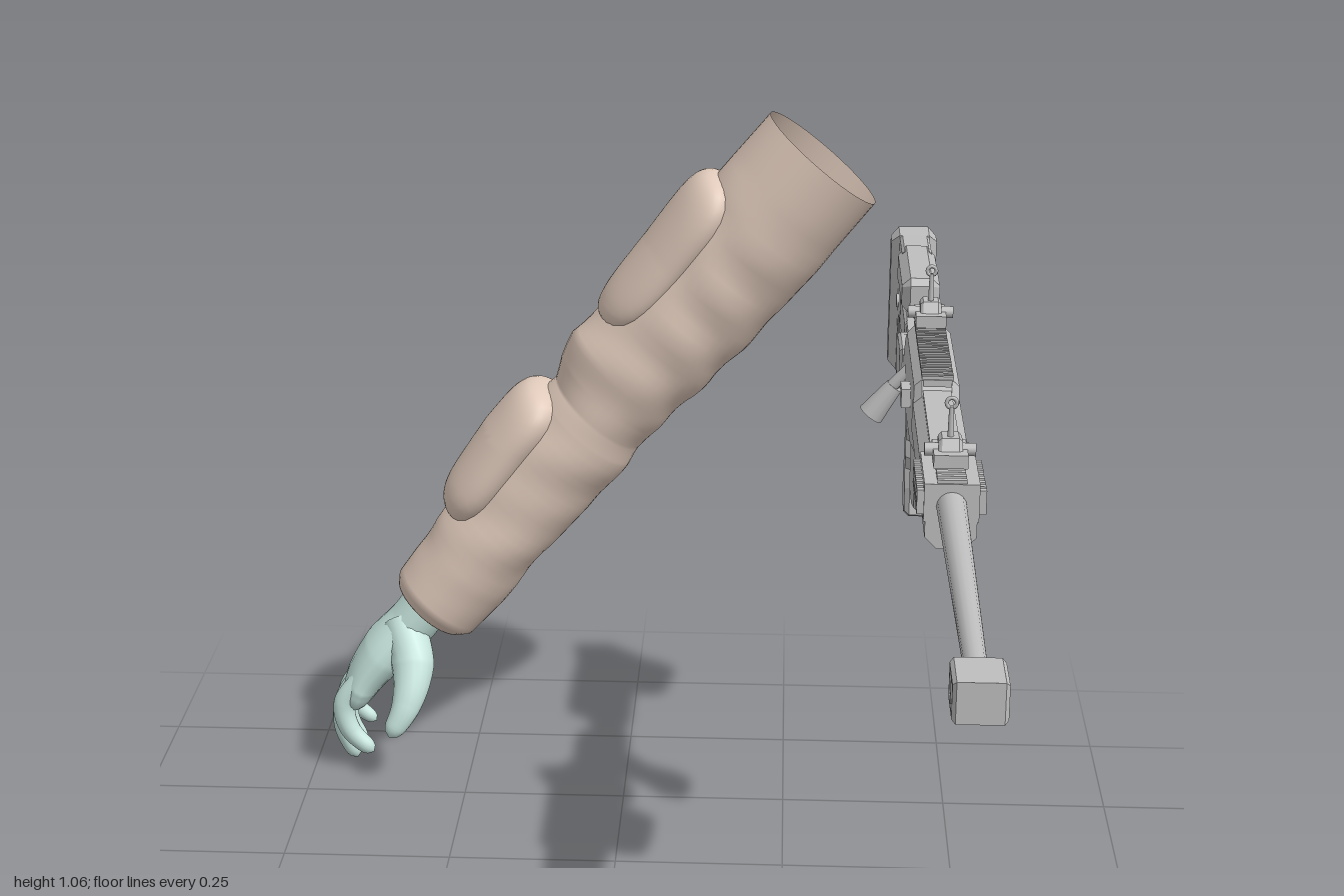
import * as THREE from 'three';
import { ParametricGeometry } from 'three/addons/geometries/ParametricGeometry.js';

const V = (x, y, z) => new THREE.Vector3(x, y, z);
const material = (name, color, side = THREE.FrontSide) => {
  const m = new THREE.MeshStandardMaterial({ color, side });
  m.name = name;
  return m;
};
const GX = 0.43; // centre plane of the rifle

export function createModel() {
  const cloth = material('sleeveCloth', 0xe0cabb, THREE.DoubleSide);
  const glove = material('paleTeal', 0xc8e6de);
  const grey = material('rifleGrey', 0xbebebe);
  const model = new THREE.Group();
  const arm = new THREE.Group(), rifle = new THREE.Group();
  arm.name = 'arm';
  rifle.name = 'rifle';
  model.add(arm, rifle);

  const add = (group, name, geo, mat) => {
    const mesh = new THREE.Mesh(geo, mat);
    mesh.name = name;
    group.add(mesh);
    return mesh;
  };

  // ---- Sleeve: rows of distance along arm, upper offset, lower offset, z centre, z radius
  const rows = [
    [0.012, 0.03, 0.03, -0.89, 0.035], [-0.012, 0.066, 0.064, -0.89, 0.08],
    [0, 0.074, 0.076, -0.89, 0.088], [0.07, 0.079, 0.081, -0.889, 0.091],
    [0.18, 0.087, 0.078, -0.89, 0.096], [0.28, 0.092, 0.085, -0.892, 0.101],
    [0.375, 0.088, 0.087, -0.891, 0.104], [0.405, 0.084, 0.084, -0.891, 0.104],
    [0.44, 0.1, 0.083, -0.889, 0.106], [0.48, 0.112, 0.087, -0.887, 0.109],
    [0.56, 0.105, 0.096, -0.88, 0.11], [0.67, 0.103, 0.104, -0.873, 0.11],
    [0.8, 0.104, 0.106, -0.86, 0.108], [0.938, 0.103, 0.103, -0.848, 0.104]];
  const origin = V(-0.305, 0.275, 0), along = V(0.634, 0.773, 0), outward = V(-0.773, 0.634, 0);
  const sleevePoint = (k, a, lift, folds, out) => {
    const i = Math.min(Math.floor(k), rows.length - 2), f = k - i;
    const [t, up, low, zc, rz] = rows[i].map((n, j) => n + (rows[i + 1][j] - n) * f);
    const calm = THREE.MathUtils.smoothstep(t, 0.02, 0.12) * (1 - THREE.MathUtils.smoothstep(t, 0.7, 0.9));
    const fold = folds * calm * (Math.sin(t * 47 + 3 * Math.sin(a + t * 7)) + 0.6 * Math.sin(t * 71 - a * 2));
    const c = Math.cos(a), s = ((c > 0 ? up : low) + fold + lift) * c;
    out.copy(origin).addScaledVector(along, t).addScaledVector(outward, s);
    out.z = zc + (rz + fold + lift) * Math.sin(a);
  };
  add(arm, 'sleeve', new ParametricGeometry(
    (u, v, p) => sleevePoint(v * (rows.length - 1), u * Math.PI * 2, 0, 0.0015, p), 40, 78), cloth);

  // Row position for a given distance along the sleeve
  const rowAt = t => {
    let i = 2;
    while (i < rows.length - 2 && rows[i + 1][0] < t) i++;
    return i + (t - rows[i][0]) / (rows[i + 1][0] - rows[i][0]);
  };
  // Padded patches with rounded corners, wrapped on the outer side
  const pad = (name, t0, t1, half, h0, h1) => add(arm, name, new ParametricGeometry((u, v, p) => {
    const q = -u * Math.PI * 2, r = Math.sin(v * Math.PI / 2);
    const k = r / Math.pow(Math.cos(q) ** 4 + Math.sin(q) ** 4, 0.25);
    const f = (k * Math.sin(q) + 1) / 2, dome = Math.pow(Math.max(0, 1 - r ** 6), 0.5);
    sleevePoint(rowAt(t0 + (t1 - t0) * f), k * Math.cos(q) * half, (h0 + (h1 - h0) * f) * dome - 0.006, 0, p);
  }, 48, 20), cloth);
  pad('upperPad', 0.535, 0.818, 1, 0.022, 0.038);
  pad('forearmPad', 0.135, 0.39, 1, 0.034, 0.046);

  // ---- Hand: round-ended limbs; each row is x, y, z, thickness, z radius
  const limb = (name, pts, cap = 0.12) => {
    const curve = new THREE.CatmullRomCurve3(pts.map(p => V(p[0], p[1], p[2])));
    add(arm, name, new ParametricGeometry((u, v, out) => {
      const k = v * (pts.length - 1), i = Math.min(Math.floor(k), pts.length - 2), f = k - i;
      const rad = j => pts[i][j] + (pts[i + 1][j] - pts[i][j]) * f;
      const e = Math.max(0, (v - 1 + cap) / cap), round = Math.sqrt(Math.max(0, 1 - e * e));
      const d = curve.getTangent(v), b = V(0, 0, 1).addScaledVector(d, -d.z).normalize();
      const n = b.clone().cross(d), a = u * Math.PI * 2;
      out.copy(curve.getPoint(v)).addScaledVector(n, Math.cos(a) * rad(3) * round)
        .addScaledVector(b, Math.sin(a) * rad(4) * round);
    }, 18, 28), glove);
  };
  limb('palm', [[-0.295, 0.305, -0.885, 0.04, 0.05], [-0.342, 0.24, -0.885, 0.04, 0.05],
    [-0.383, 0.195, -0.89, 0.041, 0.066], [-0.42, 0.145, -0.9, 0.032, 0.076],
    [-0.445, 0.09, -0.906, 0.021, 0.07]], 0.16);
  const fingers = [['index', -0.85, -0.845, 0.03, -0.405], ['middle', -0.888, -0.887, 0.003, -0.437],
    ['ring', -0.925, -0.926, 0.012, -0.43], ['little', -0.957, -0.962, 0.037, -0.415]];
  fingers.forEach(([n, z0, z1, tipY, tipX], i) => {
    const r = i === 3 ? 0.015 : 0.018, zm = (z0 + z1) / 2;
    limb(n + 'Finger', [[-0.415, 0.16, z0, r, r], [-0.451, 0.11, z0, r, r],
      [(tipX - 0.5) / 2 + 0.01, 0.058 + tipY * 0.3, zm, r * 0.9, r * 0.9], [tipX, tipY, z1, r * 0.7, r * 0.7]]);
  });
  limb('thumb', [[-0.355, 0.24, -0.875, 0.034, 0.036], [-0.338, 0.185, -0.83, 0.034, 0.032],
    [-0.346, 0.13, -0.793, 0.023, 0.02], [-0.372, 0.082, -0.778, 0.014, 0.013]]);

  // ---- Rifle helpers
  // Side-profile plate: points are z, y; width runs along x
  const plate = (name, pts, width, { x = GX, bevel = 0.004, holes = [] } = {}) => {
    const shape = new THREE.Shape(pts.map(p => new THREE.Vector2(...p)));
    holes.forEach(h => shape.holes.push(new THREE.Path(h.map(p => new THREE.Vector2(...p)))));
    const geo = new THREE.ExtrudeGeometry(shape, { depth: width - 2 * bevel, bevelEnabled: bevel > 0,
      bevelSize: bevel, bevelThickness: bevel, bevelOffset: -bevel, bevelSegments: 1 });
    geo.translate(0, 0, bevel - width / 2).rotateY(-Math.PI / 2).translate(x, 0, 0);
    return add(rifle, name, geo, grey);
  };
  const rect = (z0, z1, y0, y1) => [[z0, y0], [z1, y0], [z1, y1], [z0, y1]];
  const box = (name, x0, x1, y0, y1, z0, z1) => add(rifle, name,
    new THREE.BoxGeometry(x1 - x0, y1 - y0, z1 - z0)
      .translate((x0 + x1) / 2, (y0 + y1) / 2, (z0 + z1) / 2), grey);
  // Cylinder between two points
  const rod = (name, a, b, r0, r1 = r0, sides = 16) => {
    const d = b.clone().sub(a), geo = new THREE.CylinderGeometry(r1, r0, d.length(), sides);
    geo.applyQuaternion(new THREE.Quaternion().setFromUnitVectors(V(0, 1, 0), d.normalize()));
    const m = a.clone().add(b).multiplyScalar(0.5);
    return add(rifle, name, geo.translate(m.x, m.y, m.z), grey);
  };
  // Lengthwise prism with cut corners
  const prism = (name, w, y0, y1, c, z0, z1) => {
    const s = new THREE.Shape([[-w, y0 + c], [-w + c, y0], [w - c, y0], [w, y0 + c], [w, y1 - c],
      [w - c, y1], [c - w, y1], [-w, y1 - c]].map(p => new THREE.Vector2(...p)));
    add(rifle, name, new THREE.ExtrudeGeometry(s, { depth: z1 - z0, bevelEnabled: false })
      .translate(GX, 0, z0), grey);
  };

  // Barrel and muzzle brake
  rod('barrel', V(GX, 0.853, 0.35), V(GX, 0.853, 0.94), 0.018, 0.012);
  plate('muzzleBrake', rect(0.93, 1, 0.832, 0.876), 0.056,
    { holes: [rect(0.942, 0.96, 0.844, 0.864), rect(0.97, 0.988, 0.844, 0.864)] });
  // Fore-end and receiver
  prism('foreEnd', 0.03, 0.802, 0.868, 0.014, -0.06, 0.378);
  box('foreEndRib', 0.412, 0.448, 0.86, 0.872, -0.05, 0.25);
  plate('receiver', [[0.03, 0.804], [0, 0.835], [-0.035, 0.862], [-0.05, 0.884], [-0.32, 0.884],
    [-0.37, 0.862], [-0.41, 0.826], [-0.43, 0.824], [-0.43, 0.762], [-0.30, 0.764], [-0.12, 0.771]],
    0.058, { bevel: 0.01 });
  // Toothed rails
  const teeth = (name, z0, z1, n, x0, x1, y0, y1) => {
    for (let i = 0; i < n; i++) {
      const z = z0 + (z1 - z0) * (i + 0.25) / n;
      box(name, x0, x1, y0, y1, z, z + (z1 - z0) * 0.55 / n);
    }
  };
  box('topRail', 0.412, 0.448, 0.88, 0.889, -0.32, -0.03);
  teeth('topRailTooth', -0.32, -0.03, 24, 0.41, 0.45, 0.887, 0.893);
  box('frontRail', 0.398, 0.462, 0.835, 0.88, 0.25, 0.378);
  teeth('frontRailTopTooth', 0.25, 0.378, 8, 0.413, 0.447, 0.878, 0.884);
  teeth('frontRailSideTooth', 0.25, 0.378, 8, 0.39, 0.47, 0.843, 0.872);
  // Flip-up sights
  for (const [name, z, top] of [['frontSight', 0.298, 0.95], ['rearSight', -0.292, 0.962]]) {
    const base = top - 0.066;
    box(name + 'Base', 0.41, 0.45, base, base + 0.016, z - 0.033, z + 0.033);
    plate(name + 'Block', [[z - 0.028, base + 0.01], [z + 0.022, base + 0.01],
      [z + 0.01, base + 0.03], [z - 0.018, base + 0.03]], 0.028);
    rod(name + 'Knob', V(0.4, base + 0.014, z), V(0.46, base + 0.014, z), 0.008, 0.008, 12);
    rod(name + 'Post', V(GX, base + 0.02, z), V(GX, top, z), 0.004, 0.003, 10);
    add(rifle, name + 'Ring', new THREE.TorusGeometry(0.006, 0.0025, 6, 14).translate(GX, top + 0.004, z), grey);
  }
  // Bolt with angled handle
  rod('boltHandle', V(0.41, 0.825, -0.33), V(0.375, 0.785, -0.335), 0.008, 0.009, 10);
  rod('boltKnob', V(0.387, 0.795, -0.335), V(0.356, 0.753, -0.338), 0.012, 0.018, 12);
  box('sideLatch', 0.389, 0.41, 0.82, 0.845, -0.18, -0.14);
  rod('boltBody', V(GX, 0.852, -0.395), V(GX, 0.852, -0.34), 0.014, 0.017);
  // Magazine, trigger, guard and grip
  plate('magazine', [[-0.122, 0.785], [-0.122, 0.686], [-0.19, 0.67], [-0.272, 0.67], [-0.272, 0.785]], 0.042);
  const guard = new THREE.CatmullRomCurve3([V(GX, 0.77, -0.282), V(GX, 0.73, -0.29), V(GX, 0.712, -0.325),
    V(GX, 0.718, -0.362), V(GX, 0.745, -0.385), V(GX, 0.77, -0.41)]);
  add(rifle, 'triggerGuard', new THREE.TubeGeometry(guard, 24, 0.006, 8), grey);
  plate('trigger', [[-0.325, 0.77], [-0.34, 0.77], [-0.34, 0.74], [-0.325, 0.725], [-0.332, 0.745]], 0.01, { bevel: 0 });
  plate('grip', [[-0.385, 0.775], [-0.405, 0.745], [-0.418, 0.73], [-0.408, 0.71], [-0.422, 0.69],
    [-0.412, 0.668], [-0.425, 0.648], [-0.412, 0.625], [-0.404, 0.588], [-0.43, 0.578], [-0.482, 0.58],
    [-0.49, 0.615], [-0.478, 0.66], [-0.47, 0.71], [-0.482, 0.745], [-0.492, 0.775]], 0.042, { bevel: 0.007 });
  // Stock tube and folding hinge
  plate('stockNeck', [[-0.42, 0.762], [-0.42, 0.824], [-0.5, 0.824], [-0.545, 0.815], [-0.545, 0.762]],
    0.056, { x: 0.424 });
  box('stockHinge', 0.412, 0.448, 0.772, 0.814, -0.61, -0.54);
  plate('stockBar', rect(-0.79, -0.6, 0.764, 0.814), 0.042);
  // Cheek rest on two short posts
  for (const z of [-0.63, -0.74]) rod('cheekPost', V(GX, 0.805, z), V(GX, 0.84, z), 0.008);
  plate('cheekRest', [[-0.582, 0.83], [-0.582, 0.872], [-0.59, 0.882], [-0.79, 0.882], [-0.79, 0.825],
    [-0.74, 0.825], [-0.73, 0.83]], 0.054, { bevel: 0.012 });
  // Skeleton butt frame and recoil pad
  plate('buttFrame', [[-0.76, 0.88], [-0.87, 0.88], [-0.87, 0.668], [-0.82, 0.672], [-0.79, 0.69],
    [-0.785, 0.73], [-0.775, 0.765], [-0.76, 0.79]], 0.044,
    { holes: [[[-0.802, 0.765], [-0.825, 0.765], [-0.85, 0.715], [-0.85, 0.69], [-0.812, 0.695], [-0.802, 0.73]]] });
  for (const x of [0.4075, 0.4525])
    rod('buttScrew', V(x - 0.003, 0.787, -0.835), V(x + 0.003, 0.787, -0.835), 0.01, 0.01, 14);
  plate('recoilPad', [[-0.863, 0.672], [-0.863, 0.88], [-0.915, 0.882], [-0.927, 0.86], [-0.924, 0.77],
    [-0.932, 0.69], [-0.92, 0.667]], 0.068, { bevel: 0.012 });
  return model;
}
